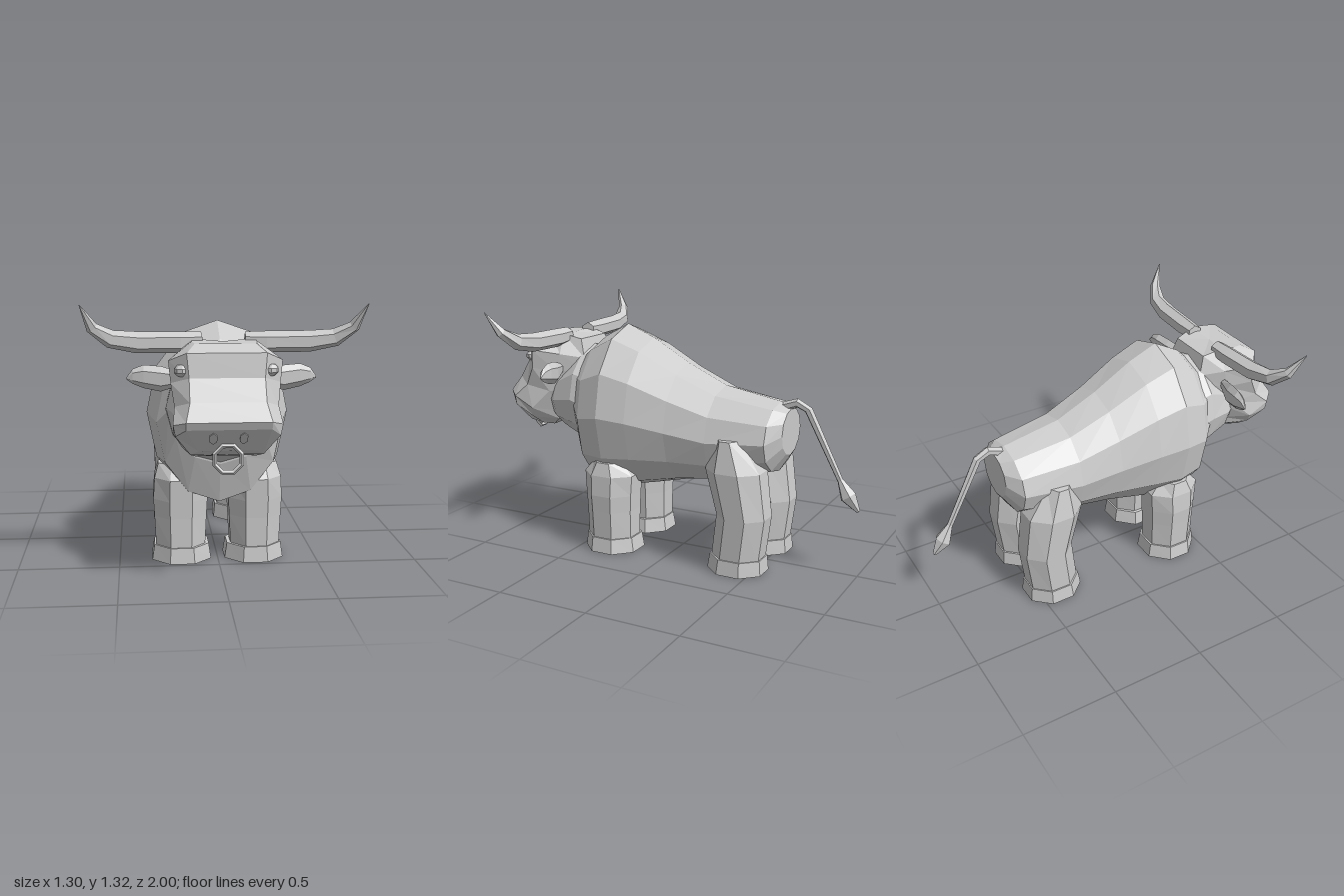
import * as THREE from 'three';

const hide = new THREE.MeshStandardMaterial({ color: 0xcccccc });
hide.name = 'light grey';

const V = (x, y, z) => new THREE.Vector3(x, y, z);

// Faceted mesh with a plain name
function part(name, geometry) {
  const g = geometry.index ? geometry.toNonIndexed() : geometry;
  g.computeVertexNormals();
  const mesh = new THREE.Mesh(g, hide);
  mesh.name = name;
  return mesh;
}

// Skin a list of equal-length rings and cap both ends, facing outward
function loft(name, rings) {
  const tris = [], n = rings[0].length;
  for (let i = 0; i < rings.length - 1; i++) {
    const a = rings[i], b = rings[i + 1];
    for (let j = 0; j < n; j++) {
      const k = (j + 1) % n;
      tris.push([a[j], a[k], b[k]], [a[j], b[k], b[j]]);
    }
  }
  const cap = (ring, flip) => {
    const c = ring.reduce((s, p) => s.add(p), V(0, 0, 0)).divideScalar(n);
    ring.forEach((p, j) => {
      const q = ring[(j + 1) % n];
      tris.push(flip ? [c, q, p] : [c, p, q]);
    });
  };
  cap(rings[0], true);
  cap(rings[rings.length - 1], false);
  let volume = 0;
  for (const [a, b, c] of tris) volume += a.dot(b.clone().cross(c));
  const points = tris.flatMap(t => (volume < 0 ? [t[0], t[2], t[1]] : t));
  return part(name, new THREE.BufferGeometry().setFromPoints(points));
}

// Elliptical ring spanned by two half-axis vectors
function ring(center, u, v, sides, turn = 0) {
  return Array.from({ length: sides }, (_, i) => {
    const a = turn + (i / sides) * Math.PI * 2;
    return center.clone().addScaledVector(u, Math.cos(a)).addScaledVector(v, Math.sin(a));
  });
}

// Tapering limb along a path in rows of [x, y, z, radius]
function horned(name, rows, sides, side) {
  const pts = rows.map(r => V(r[0] * side, r[1], r[2]));
  return loft(name, rows.map((r, i) => {
    const t = pts[Math.min(i + 1, pts.length - 1)].clone().sub(pts[Math.max(i - 1, 0)]).normalize();
    const helper = Math.abs(t.x) > 0.3 ? V(0, 0, 1) : V(1, 0, 0);
    const u = helper.clone().cross(t).normalize();
    const v = t.clone().cross(u);
    return ring(pts[i], u.multiplyScalar(r[3]), v.multiplyScalar(r[3]), sides);
  }));
}

// Leg from rows of [y, centre z, half width, half depth]
function leg(name, x, rows) {
  const k = 1 / Math.cos(Math.PI / 8);
  return loft(name, rows.map(([y, z, w, d]) =>
    ring(V(x, y, z), V(w * k, 0, 0), V(0, 0, d * k), 8, Math.PI / 8)));
}

export function createModel() {
  const bull = new THREE.Group();
  bull.name = 'bull';

  // Barrel body with shoulder hump: [z, top, bottom, half width]
  const barrel = rows => rows.map(([z, t, b, w]) =>
    ring(V(0, (t + b) / 2, z), V(0, (t - b) / 2, 0), V(w, 0, 0), 12));
  bull.add(loft('body', barrel([
    [-0.62, 0.845, 0.6, 0.13], [-0.56, 0.875, 0.505, 0.225], [-0.25, 0.93, 0.42, 0.265],
    [-0.03, 1.03, 0.385, 0.295], [0.18, 1.15, 0.335, 0.335], [0.34, 1.215, 0.3, 0.355],
    [0.485, 1.135, 0.325, 0.31], [0.55, 1.07, 0.53, 0.25],
  ])));
  bull.add(loft('neck', barrel([
    [0.46, 1.08, 0.5, 0.27], [0.56, 1.09, 0.545, 0.265], [0.7, 0.98, 0.61, 0.22], [0.76, 0.92, 0.66, 0.17],
  ])));

  // Head: each section lists [half width, y, z] from face to nape
  const head = [
    [[0.14, 1.145, 0.8], [0.15, 1.15, 0.74], [0.14, 1.155, 0.67], [0.12, 1.13, 0.57]],
    [[0.18, 1.11, 0.87], [0.26, 1.07, 0.8], [0.2, 1.05, 0.66], [0.14, 1.03, 0.54]],
    [[0.17, 1.0, 0.885], [0.25, 0.97, 0.81], [0.2, 0.95, 0.68], [0.14, 0.97, 0.55]],
    [[0.17, 0.9, 0.945], [0.235, 0.87, 0.86], [0.21, 0.84, 0.73], [0.15, 0.85, 0.62]],
    [[0.19, 0.82, 1.0], [0.245, 0.8, 0.94], [0.24, 0.74, 0.83], [0.15, 0.72, 0.71]],
    [[0.19, 0.785, 0.985], [0.235, 0.75, 0.94], [0.2, 0.68, 0.85], [0.14, 0.67, 0.72]],
    [[0.13, 0.675, 0.905], [0.165, 0.655, 0.89], [0.14, 0.635, 0.83], [0.1, 0.625, 0.78]],
  ];
  bull.add(loft('head', head.map(s => [
    ...s.map(([w, y, z]) => V(w, y, z)),
    ...s.slice().reverse().map(([w, y, z]) => V(-w, y, z)),
  ])));

  for (const side of [1, -1]) {
    const label = side > 0 ? 'left' : 'right';

    bull.add(horned(label + 'Horn', [
      [0.1, 1.145, 0.67, 0.042], [0.2, 1.14, 0.675, 0.05], [0.4, 1.142, 0.685, 0.05],
      [0.52, 1.16, 0.7, 0.042], [0.6, 1.215, 0.735, 0.028], [0.65, 1.32, 0.795, 0.002],
    ], 6, side));

    // Ear: [x, y, z, half height, half thickness]
    bull.add(loft(label + 'Ear', [
      [0.18, 0.97, 0.67, 0.025, 0.02], [0.29, 0.965, 0.635, 0.06, 0.03],
      [0.37, 0.975, 0.62, 0.055, 0.028], [0.42, 0.975, 0.615, 0.035, 0.016], [0.45, 0.965, 0.61, 0.004, 0.004],
    ].map(([x, y, z, h, d]) => ring(V(x * side, y, z), V(0, h, 0), V(0, 0, d), 6))));

    const eye = part(label + 'Eye', new THREE.SphereGeometry(0.038, 8, 5));
    eye.scale.y = 0.8;
    eye.position.set(0.198 * side, 1.03, 0.84);
    bull.add(eye);

    // Nostril plate lying on the sloping muzzle
    const nostril = part(label + 'Nostril', new THREE.CylinderGeometry(0.02, 0.02, 0.008, 6));
    nostril.scale.z = 1.8;
    nostril.rotation.x = Math.PI / 2 + 0.63;
    nostril.position.set(0.068 * side, 0.742, 0.955);
    bull.add(nostril);

    bull.add(leg(label + 'FrontLeg', 0.19 * side, [
      [0.08, 0.335, 0.125, 0.132], [0.23, 0.335, 0.132, 0.135],
      [0.32, 0.335, 0.137, 0.14], [0.43, 0.335, 0.13, 0.147], [0.5, 0.335, 0.11, 0.09],
    ]));
    bull.add(leg(label + 'FrontHoof', 0.185 * side, [
      [0, 0.333, 0.15, 0.15], [0.08, 0.335, 0.138, 0.14],
    ]));
    bull.add(leg(label + 'HindLeg', 0.178 * side, [
      [0.08, -0.415, 0.12, 0.132], [0.3, -0.442, 0.126, 0.133],
      [0.54, -0.395, 0.133, 0.15], [0.7, -0.37, 0.1, 0.065],
    ]));
    bull.add(leg(label + 'HindHoof', 0.175 * side, [
      [0, -0.41, 0.138, 0.15], [0.08, -0.413, 0.13, 0.14],
    ]));
  }

  // Ring through the nose
  const noseRing = part('noseRing', new THREE.TorusGeometry(0.065, 0.011, 4, 8));
  noseRing.rotation.z = Math.PI / 8;
  noseRing.position.set(0, 0.643, 0.932);
  bull.add(noseRing);

  // Tail and tuft
  bull.add(horned('tail', [
    [0, 0.85, -0.58, 0.025], [0, 0.875, -0.65, 0.024], [0, 0.845, -0.71, 0.022], [0, 0.48, -0.9, 0.016],
  ], 6, 1));
  bull.add(horned('tailTuft', [
    [0, 0.5, -0.89, 0.016], [0, 0.42, -0.935, 0.044], [0, 0.348, -0.992, 0.01],
  ], 6, 1));

  return bull;
}
